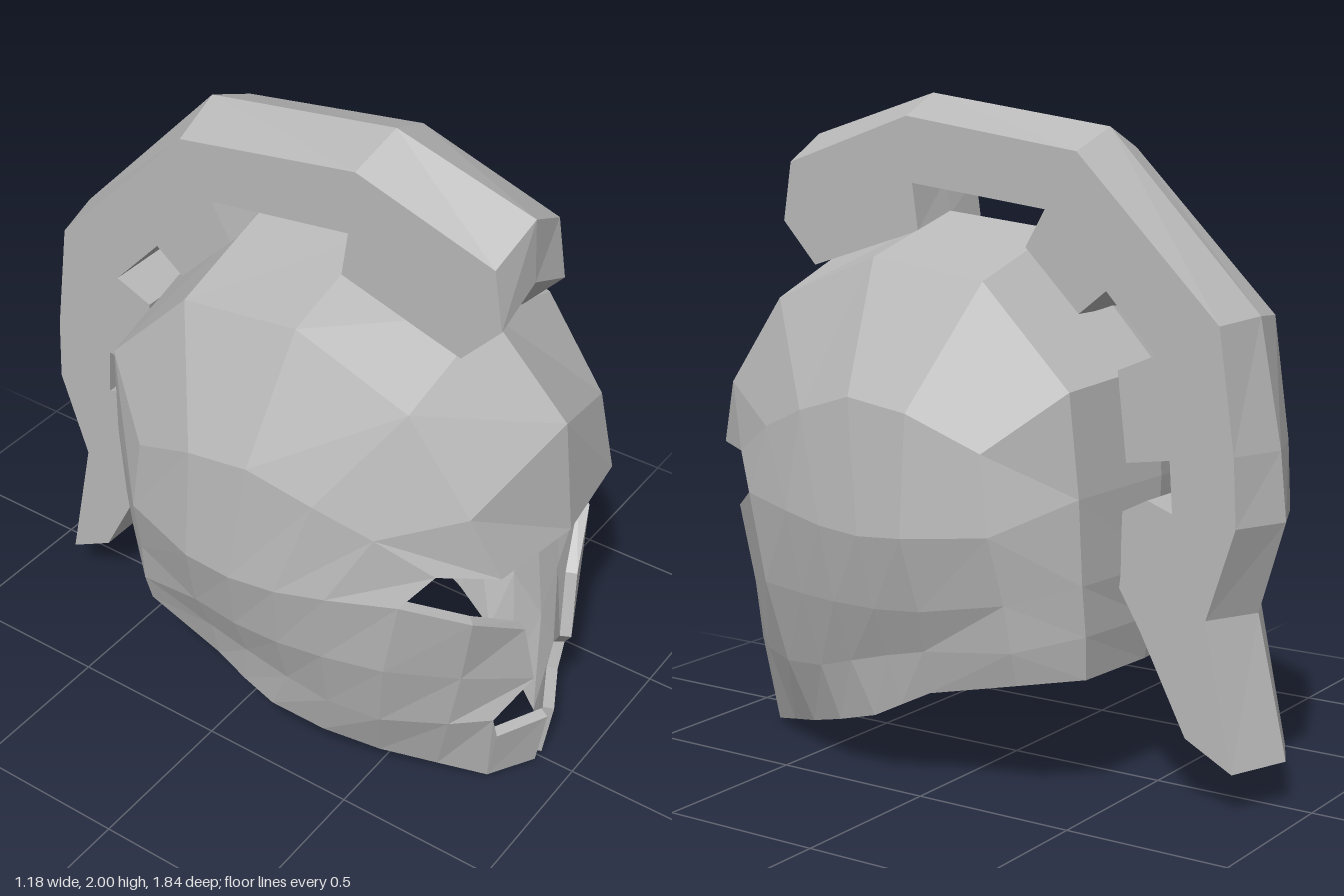
import * as THREE from 'three';

const steel = new THREE.MeshStandardMaterial({ color: 0xb8b8b8, flatShading: true });
steel.name = 'steel';

// Lines running over the left half of the skull, from brow to neck
const ridge = [[0, .92, .92], [0, 1.27, .88], [0, 1.53, .62], [0, 1.65, .24], [0, 1.61, -.14],
  [0, 1.24, -.48], [0, .92, -.5], [0, .66, -.49], [0, .5, -.47], [0, .37, -.45]];
const upper = [[.31, .93, .88], [.36, 1.13, .8], [.37, 1.4, .6], [.38, 1.54, .24], [.38, 1.49, -.14],
  [.37, 1.2, -.42], [.35, .9, -.44], [.33, .65, -.44], [.31, .5, -.44], [.29, .37, -.43]];
const temple = [[.41, .93, .73], [.48, 1.03, .57], [.53, 1.1, .4], [.56, 1.16, .2], [.56, 1.13, 0],
  [.51, 1.03, -.22], [.52, .8, -.25], [.47, .6, -.27], [.45, .46, -.28], [.42, .36, -.28]];

// Rows down the side, front to back
const side = [
  temple.slice(0, 6),
  [[.47, .82, .65], [.54, .8, .45], [.575, .78, .3], [.59, .77, .15], [.59, .78, 0], temple[6]],
  [[.46, .55, .6], [.51, .55, .42], [.535, .55, .28], [.54, .55, .13], [.53, .56, -.02], temple[7]],
  [[.41, .3, .56], [.45, .32, .4], [.47, .36, .27], [.48, .4, .13], [.48, .43, 0], temple[8]],
  [[.34, .1, .52], [.41, .15, .36], [.45, .2, .2], [.455, .25, .1], [.45, .3, 0], temple[9]],
];

// Rows of the cheek guard, from its free edge back to the side
const cheek = [
  [[.15, .63, .88], [.33, .74, .81], side[1][0]],
  [[.11, .42, .9], [.31, .5, .77], side[2][0]],
  [[.21, .29, .83], [.3, .29, .73], side[3][0]],
  [[.17, .015, .8], [.25, .055, .67], side[4][0]],
];
const strapTop = [.18, .2, .83], chinTop = [.02, .2, .91], chinLow = [.02, .005, .88];

// Faces between neighbouring rows of points
function gridFaces(rows) {
  const faces = [];
  for (let i = 0; i + 1 < rows.length; i++)
    for (let j = 0; j + 1 < rows[i].length; j++)
      faces.push([rows[i][j], rows[i][j + 1], rows[i + 1][j + 1], rows[i + 1][j]]);
  return faces;
}

// Thick shell: outer skin, inner skin and a wall along every open edge
function thickShell(faces, thickness) {
  const points = [], lookup = new Map(), tris = [];
  const centre = new THREE.Vector3(0, .8, .1);
  const id = (p) => {
    const key = p.map((v) => Math.round(v * 1000)).join();
    if (!lookup.has(key)) {
      lookup.set(key, points.length);
      points.push(new THREE.Vector3(...p));
    }
    return lookup.get(key);
  };
  for (const face of faces) {
    const ids = face.map(id);
    const n = new THREE.Vector3();
    for (let k = 1; k + 1 < ids.length; k++) {
      const a = points[ids[0]], b = points[ids[k]], c = points[ids[k + 1]];
      n.add(b.clone().sub(a).cross(c.clone().sub(a)));
    }
    if (n.dot(points[ids[0]].clone().sub(centre)) < 0) ids.reverse();
    for (let k = 1; k + 1 < ids.length; k++) tris.push([ids[0], ids[k], ids[k + 1]]);
  }
  const normals = points.map(() => new THREE.Vector3());
  const edges = new Set();
  for (const [a, b, c] of tris) {
    const n = points[b].clone().sub(points[a]).cross(points[c].clone().sub(points[a]));
    for (const i of [a, b, c]) normals[i].add(n);
    edges.add(a + '_' + b).add(b + '_' + c).add(c + '_' + a);
  }
  const count = points.length;
  const inner = points.map((p, i) => p.clone().addScaledVector(normals[i].normalize(), -thickness));
  const index = [];
  for (const [a, b, c] of tris) index.push(a, b, c, c + count, b + count, a + count);
  for (const edge of edges) {
    const [a, b] = edge.split('_').map(Number);
    if (!edges.has(b + '_' + a)) index.push(b, a, a + count, b, a + count, b + count);
  }
  const geometry = new THREE.BufferGeometry().setFromPoints([...points, ...inner]);
  geometry.setIndex(index);
  const flat = geometry.toNonIndexed();
  flat.computeVertexNormals();
  return flat;
}

// Crest outline as [z, y, ridge shift in z, ridge shift in y]
const crestOutline = [
  [.72, 1.79, .02, .08], [.28, 1.935, .02, .065], [-.31, 1.845, -.01, .065], [-.77, 1.385, -.04, .015],
  [-.82, 1.03, -.06, 0], [-.83, .83, -.07, 0], [-.74, .56, -.08, 0], [-.83, .13, -.085, .01],
  [-.68, .21, 0, 0], [-.53, .5, 0, 0], [-.44, .65, 0, 0], [-.47, .84, 0, 0], [-.55, .88, 0, 0],
  [-.63, .85, 0, 0], [-.62, 1, 0, 0], [-.48, .98, 0, 0], [-.45, 1.24, 0, 0], [-.57, 1.29, 0, 0],
  [-.41, 1.46, 0, 0], [-.32, 1.39, 0, 0], [-.14, 1.57, 0, 0], [-.205, 1.68, 0, 0],
  [.26, 1.74, 0, 0], [.24, 1.6, 0, .04], [.63, 1.48, 0, .05], [.75, 1.61, 0, .07],
];

// Extrude the outline across x, then push the middle line out into a ridge
function crestGeometry(halfWidth) {
  const shape = new THREE.Shape(crestOutline.map(([z, y]) => new THREE.Vector2(-z, y)));
  const geometry = new THREE.ExtrudeGeometry(shape, { depth: halfWidth * 2, steps: 2, bevelEnabled: false });
  geometry.translate(0, 0, -halfWidth).rotateY(Math.PI / 2);
  const pos = geometry.attributes.position;
  for (let i = 0; i < pos.count; i++) {
    if (Math.abs(pos.getX(i)) > .01) continue;
    const y = pos.getY(i), z = pos.getZ(i);
    const hit = crestOutline.find((p) => Math.hypot(p[0] - z, p[1] - y) < .002);
    if (hit) pos.setXYZ(i, 0, y + hit[3], z + hit[2]);
  }
  geometry.computeVertexNormals();
  return geometry;
}

export function createModel() {
  const model = new THREE.Group();
  model.name = 'crestedHelmet';
  const add = (name, geometry) => {
    const mesh = new THREE.Mesh(geometry, steel);
    mesh.name = name;
    model.add(mesh);
  };

  // Skull, sides, cheek guards and chin pieces in one shell
  const half = [
    ...gridFaces([ridge, upper, temple]),
    ...gridFaces(side),
    ...gridFaces(cheek),
    [cheek[2][0], strapTop, cheek[3][0]],
    [strapTop, chinTop, chinLow, cheek[3][0]],
  ];
  const mirrored = half.map((face) => face.map(([x, y, z]) => [-x, y, z]));
  add('helmetShell', thickShell([...half, ...mirrored], .035));

  // Crest over the top and down the back
  add('crest', crestGeometry(.165));
  return model;
}
